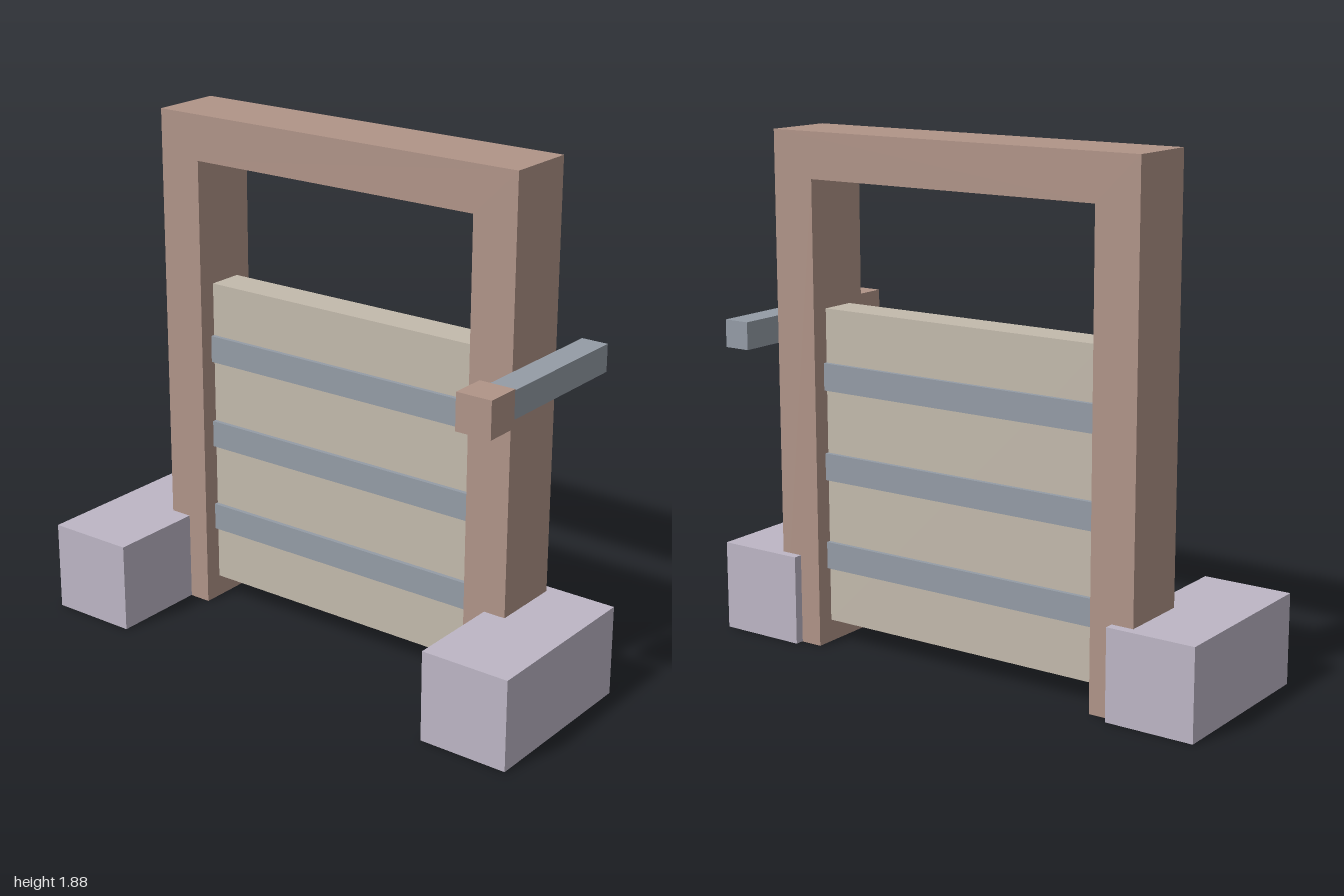
import * as THREE from 'three';

const material = (name, color) => {
  const m = new THREE.MeshStandardMaterial({ color });
  m.name = name;
  return m;
};

export function createModel() {
  const wood = material('brown wood', 0xb09488);
  const stone = material('pale stone', 0xbdb6c5);
  const panel = material('beige panel', 0xc3baac);
  const steel = material('grey steel', 0x949ca6);

  const model = new THREE.Group();
  model.name = 'sluiceGate';

  // Box given by its lower and upper corners
  const box = (name, mat, [x0, y0, z0], [x1, y1, z1]) => {
    const mesh = new THREE.Mesh(new THREE.BoxGeometry(x1 - x0, y1 - y0, z1 - z0), mat);
    mesh.position.set((x0 + x1) / 2, (y0 + y1) / 2, (z0 + z1) / 2);
    mesh.name = name;
    model.add(mesh);
  };

  // Frame: one arch outline, extruded front to back
  const arch = new THREE.Shape([
    [-0.75, 0], [-0.583, 0], [-0.583, 1.717], [0.583, 1.717],
    [0.583, 0], [0.75, 0], [0.75, 1.883], [-0.75, 1.883],
  ].map(([x, y]) => new THREE.Vector2(x, y)));
  const frame = new THREE.Mesh(
    new THREE.ExtrudeGeometry(arch, { depth: 0.267, bevelEnabled: false }), wood);
  frame.position.z = -0.233;
  frame.name = 'frame';
  model.add(frame);

  // Foundation blocks, a hair above the post bottoms
  box('leftFoot', stone, [0.667, 0.001, -0.267], [1, 0.333, 0.4]);
  box('rightFoot', stone, [-1, 0.001, -0.267], [-0.667, 0.333, 0.4]);

  // Gate panel with three bands standing proud on both faces
  box('gatePanel', panel, [-0.583, 0.083, -0.167], [0.583, 1.25, -0.033]);
  for (const y of [0.333, 0.667, 1.0]) {
    box('gateBand', steel, [-0.583, y - 0.047, -0.183], [0.583, y + 0.053, -0.017]);
  }

  // Lever and its grip beside the left post
  box('lever', steel, [0.75, 1.117, -0.4], [0.85, 1.217, 0.2]);
  box('leverGrip', wood, [0.733, 1.1, 0.2], [0.867, 1.233, 0.333]);

  return model;
}
